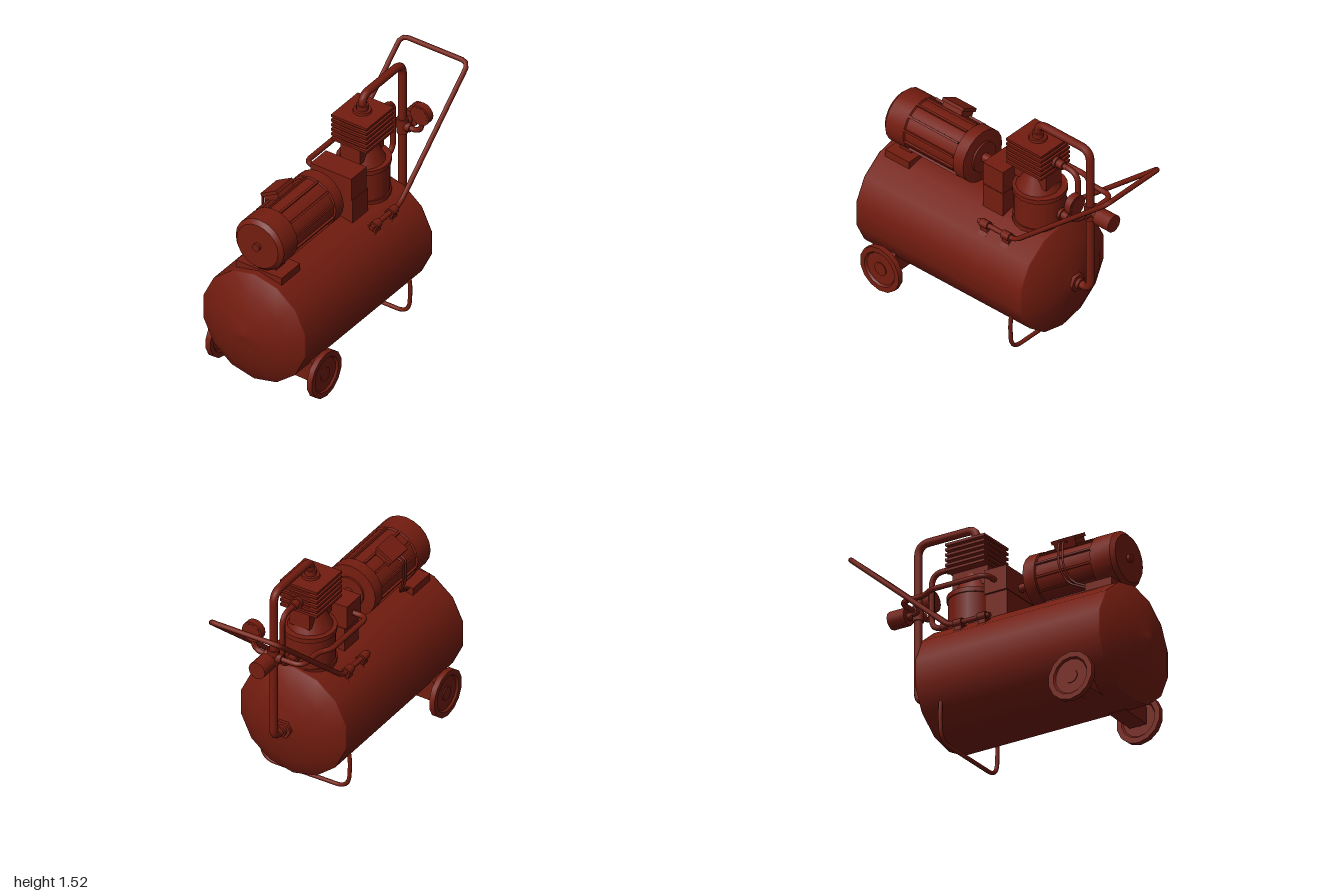
import * as THREE from 'three';
import { toCreasedNormals } from 'three/addons/utils/BufferGeometryUtils.js';

const mat = new THREE.MeshStandardMaterial({ color: 0x731c0f, side: THREE.DoubleSide });
const V = (x, y, z) => new THREE.Vector3(x, y, z);

export function createModel() {
  const model = new THREE.Group();

  const add = (name, geo, x = 0, y = 0, z = 0, parent = model) => {
    const m = new THREE.Mesh(geo, mat);
    m.name = name;
    m.position.set(x, y, z);
    parent.add(m);
    return m;
  };
  // box given by its min and max on each axis
  const box = (name, x0, x1, y0, y1, z0, z1, parent) =>
    add(name, new THREE.BoxGeometry(x1 - x0, y1 - y0, z1 - z0),
      (x0 + x1) / 2, (y0 + y1) / 2, (z0 + z1) / 2, parent);
  // cylinder along a chosen axis, centred on a point
  const cyl = (name, axis, r0, r1, len, x, y, z, sides = 16, parent = model) => {
    const g = new THREE.CylinderGeometry(r1, r0, len, sides);
    if (axis === 'x') g.rotateZ(-Math.PI / 2);
    if (axis === 'z') g.rotateX(Math.PI / 2);
    return add(name, g, x, y, z, parent);
  };
  // turned part along x; profile is [radius, x] pairs with x ascending
  const turnX = (pts, sides) => new THREE.LatheGeometry(
    pts.map(p => new THREE.Vector2(p[0], p[1])), sides, Math.PI / 2).rotateZ(-Math.PI / 2);
  // pipe along straight runs with rounded corners
  const pipe = (name, pts, r, bend, sides = 8, parent = model) => {
    const path = new THREE.CurvePath();
    let from = pts[0];
    for (let i = 1; i < pts.length - 1; i++) {
      const a = pts[i - 1], p = pts[i], b = pts[i + 1];
      const d = Math.min(bend, a.distanceTo(p) * 0.49, p.distanceTo(b) * 0.49);
      const s = p.clone().add(a.clone().sub(p).setLength(d));
      const e = p.clone().add(b.clone().sub(p).setLength(d));
      path.add(new THREE.LineCurve3(from, s));
      path.add(new THREE.QuadraticBezierCurve3(s, p, e));
      from = e;
    }
    path.add(new THREE.LineCurve3(from, pts[pts.length - 1]));
    return add(name, new THREE.TubeGeometry(path, 90, r, sides), 0, 0, 0, parent);
  };

  // Air tank with domed ends
  add('tank', turnX([[0, -1], [0.13, -0.975], [0.26, -0.945], [0.375, -0.88], [0.375, -0.87],
    [0.375, 0.42], [0.375, 0.43], [0.26, 0.495], [0.13, 0.522], [0, 0.545]], 14), 0, 0.475, 0);

  // Wheels with recessed discs, and their brackets
  const wheelProfile = [[0, -0.012], [0.045, -0.012], [0.045, -0.006], [0.11, -0.006], [0.12, -0.018],
    [0.155, -0.018], [0.155, 0.018], [0.12, 0.018], [0.11, 0.006], [0.045, 0.006], [0.045, 0.012], [0, 0.012]];
  for (const s of [1, -1]) {
    const wheel = toCreasedNormals(turnX(wheelProfile, 14).rotateY(Math.PI / 2), 0.6);
    add(s > 0 ? 'leftWheel' : 'rightWheel', wheel, -0.68, 0.167, 0.367 * s);
    const shape = new THREE.Shape([[0.35, 0.12], [0.35, 0.22], [0.29, 0.29], [0.1, 0.2], [0.12, 0.125]]
      .map(p => new THREE.Vector2(p[0] * s, p[1])));
    const g = new THREE.ExtrudeGeometry(shape, { depth: 0.12, bevelEnabled: false });
    add('wheelBracket', g.rotateY(-Math.PI / 2), -0.62, 0, 0);
  }
  cyl('axleStubs', 'z', 0.025, 0.025, 0.74, -0.68, 0.167, 0, 10);

  // Bent front leg
  pipe('frontLeg', [V(0.29, 0.28, 0.3), V(0.29, 0.2, 0.31), V(0.29, 0.018, 0.3),
    V(0.29, 0.018, -0.3), V(0.29, 0.2, -0.31), V(0.29, 0.28, -0.3)], 0.013, 0.1);

  // Electric motor
  const motor = new THREE.Group();
  motor.name = 'motor';
  motor.position.y = 1.037;
  model.add(motor);
  add('motorBody', toCreasedNormals(turnX([[0, -0.865], [0.025, -0.865], [0.025, -0.845], [0.15, -0.845],
    [0.175, -0.82], [0.175, -0.68], [0.163, -0.675], [0.163, -0.29], [0.175, -0.285], [0.175, -0.205],
    [0.1, -0.2], [0.1, -0.187], [0.03, -0.187], [0.026, -0.07], [0, -0.07]], 20), 0.6), 0, 0, 0, motor);
  for (let i = 0; i < 12; i++) {
    const a = (i + 0.5) * Math.PI / 6;
    add('coolingRib', new THREE.BoxGeometry(0.39, 0.025, 0.014),
      -0.485, Math.cos(a) * 0.163, Math.sin(a) * 0.163, motor).rotation.x = a;
  }
  const terminal = add('terminalBox', new THREE.BoxGeometry(0.15, 0.06, 0.115), -0.487, 0.158, -0.1, motor);
  terminal.rotation.x = -0.52;
  add('terminalLid', new THREE.BoxGeometry(0.168, 0.022, 0.13), 0, 0.022, 0, terminal);
  for (const x of [-0.505, -0.475]) {
    pipe('motorCable', [V(x, 0.14, -0.15), V(x, 0.12, -0.2), V(x, -0.03, -0.2),
      V(x - 0.03, -0.13, -0.15), V(x - 0.16, -0.19, -0.13)], 0.007, 0.05, 6, motor);
  }
  box('motorBase', -0.83, -0.64, 0.8, 0.862, -0.165, 0.165);
  box('motorFoot', -0.78, -0.69, 0.85, 0.92, -0.09, 0.09);

  // Coupling housing between motor and compressor
  box('couplingLower', -0.073, 0.085, 0.8, 0.98, -0.14, 0.145);
  box('couplingUpper', -0.078, 0.08, 0.98, 1.135, -0.155, 0.14);

  // Compressor crankcase, neck and finned head
  cyl('crankcase', 'y', 0.158, 0.158, 0.25, 0.25, 0.925, 0, 20);
  cyl('crankcaseRim', 'y', 0.167, 0.167, 0.03, 0.25, 1.045, 0, 20);
  cyl('crankcaseFoot', 'y', 0.167, 0.167, 0.03, 0.25, 0.825, 0, 20);
  cyl('neck', 'y', 0.14, 0.06, 0.16, 0.24, 1.135, 0, 16);
  box('headCore', 0.11, 0.36, 1.1, 1.385, -0.07, 0.07);
  for (let i = 0; i < 6; i++) {
    const y = 1.215 + i * 0.033;
    box('headFin', 0.095, 0.373, y, y + 0.016, -0.13, 0.13);
  }
  cyl('headCollar', 'y', 0.06, 0.055, 0.022, 0.235, 1.4, 0, 12);
  cyl('headCollarTop', 'y', 0.037, 0.037, 0.05, 0.235, 1.42, 0, 12);

  // Delivery pipe from head to tank
  pipe('deliveryPipe', [V(0.235, 1.38, 0), V(0.235, 1.505, 0), V(0.648, 1.505, 0),
    V(0.648, 0.478, 0), V(0.53, 0.478, 0)], 0.026, 0.075, 10);
  cyl('tankFitting', 'x', 0.06, 0.06, 0.025, 0.545, 0.478, 0, 6);
  cyl('tankFittingNeck', 'x', 0.037, 0.037, 0.03, 0.565, 0.478, 0, 10);

  // Breather pipe from head back to crankcase
  pipe('breatherPipe', [V(0.35, 1.29, 0), V(0.552, 1.29, 0), V(0.552, 0.925, 0), V(0.4, 0.925, 0)], 0.018, 0.08);
  for (const [x, y] of [[0.385, 1.29], [0.425, 0.925]]) {
    cyl('breatherCollar', 'x', 0.038, 0.038, 0.02, x, y, 0, 8);
    cyl('breatherNut', 'x', 0.028, 0.028, 0.07, x + 0.02, y, 0, 8);
  }

  // Valve cross, pressure switch and gauge
  cyl('valveBody', 'y', 0.036, 0.036, 0.1, 0.648, 1.055, 0, 10);
  cyl('valveStem', 'x', 0.024, 0.024, 0.11, 0.685, 1.055, 0, 10);
  cyl('pressureSwitch', 'x', 0.057, 0.057, 0.118, 0.777, 1.058, 0, 12);
  cyl('valveCross', 'z', 0.028, 0.028, 0.12, 0.648, 1.055, 0, 10);
  pipe('gaugePipe', [V(0.648, 1.055, 0), V(0.648, 1.055, 0.14), V(0.648, 1.19, 0.14)], 0.017, 0.07);
  cyl('gauge', 'x', 0.068, 0.068, 0.046, 0.648, 1.19, 0.14, 16);
  cyl('gaugeFace', 'x', 0.055, 0.055, 0.05, 0.648, 1.19, 0.14, 16);

  // Control line from the valve round the back to the coupling housing
  pipe('controlLine', [V(0.648, 1.055, 0), V(0.648, 1.055, -0.2), V(0.47, 1.055, -0.2),
    V(0.4, 1.055, -0.25), V(0.005, 1.055, -0.25), V(0.005, 1.055, -0.14)], 0.017, 0.07);

  // Push handle, with clamps holding it to the tank
  pipe('handle', [V(-0.015, 0.79, 0.243), V(0.27, 0.79, 0.243), V(0.985, 1.412, 0.243),
    V(0.985, 1.412, -0.243), V(0.27, 0.79, -0.243), V(-0.015, 0.79, -0.243)], 0.016, 0.05);
  for (const s of [1, -1]) {
    cyl('handleEnd', 'x', 0.016, 0.016, 0.01, -0.015, 0.79, 0.243 * s, 8);
    for (const x of [0.032, 0.202]) {
      cyl('clampRing', 'x', 0.027, 0.027, 0.058, x, 0.79, 0.243 * s, 10);
      const plate = add('clampPlate', new THREE.BoxGeometry(0.058, 0.012, 0.1), x, 0.748, 0.238 * s);
      plate.rotation.x = 0.72 * s;
      box('clampPost', x - 0.025, x + 0.025, 0.72, 0.79, 0.243 * s - 0.012, 0.243 * s + 0.012);
    }
  }
  return model;
}
